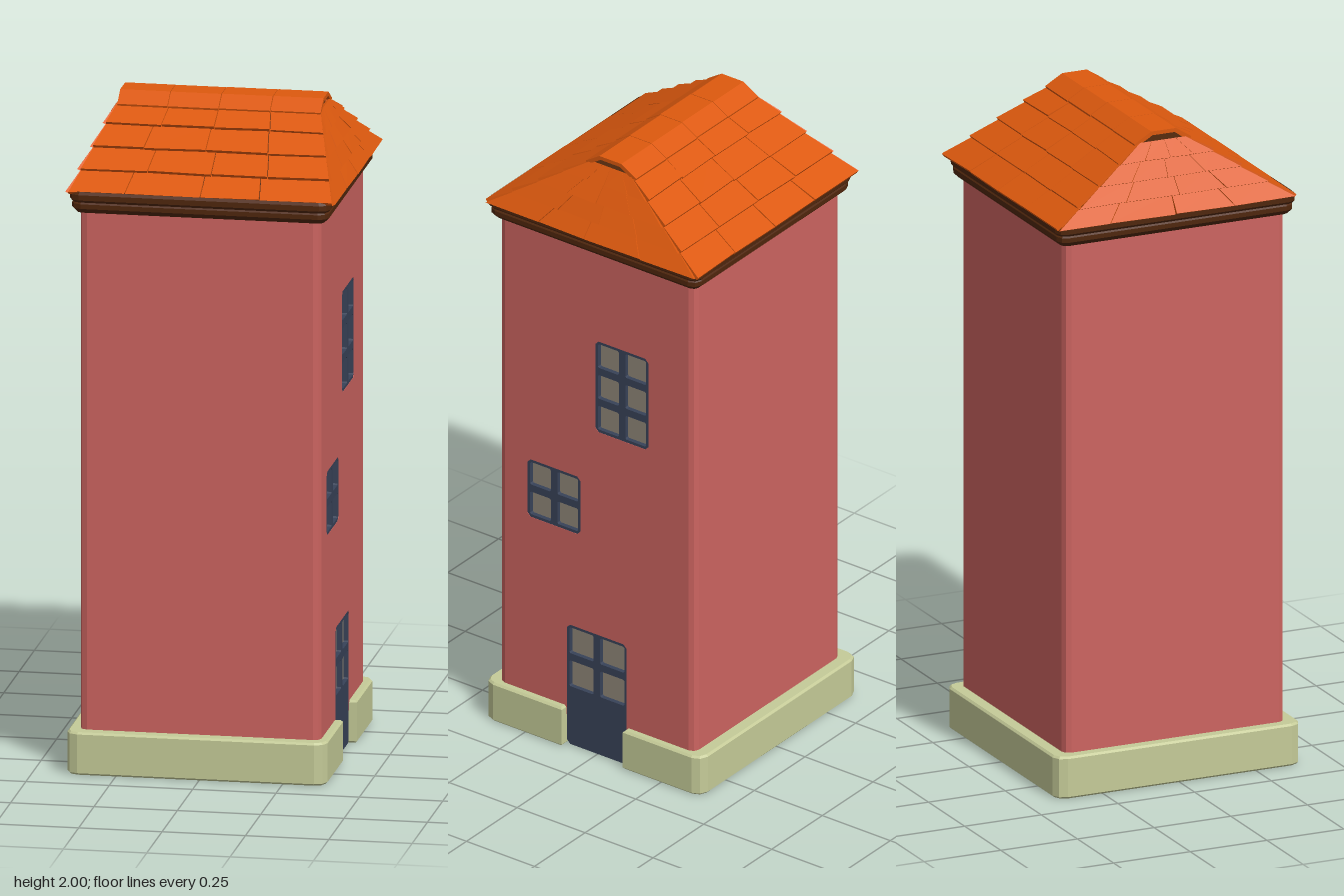
import * as THREE from 'three';

const mat = (color, extra = {}) => new THREE.MeshStandardMaterial({ color, ...extra });
const MATS = {
  wall: mat(0xcc6460), base: mat(0xc5cb98), eave: mat(0x4f260c),
  tile: mat(0xdd590e), frame: mat(0x384258), glass: mat(0x8f8678),
};

// Small seeded generator for the uneven tiles
let seed = 7;
const jitter = (a) => {
  seed = (seed * 16807) % 2147483647;
  return (seed / 2147483647 - 0.5) * 2 * a;
};

function add(parent, name, geometry, material) {
  const mesh = new THREE.Mesh(geometry, material);
  mesh.name = name;
  parent.add(mesh);
  return mesh;
}

// Plan with chamfered corners; the +x edge may have a recess of half width w back to x = depth
function plan(x0, x1, z0, z1, r, w = 0, depth = 0) {
  const pts = [[x0 + r, z0], [x1 - r, z0], [x1 - r * 0.3, z0 + r * 0.3], [x1, z0 + r]];
  if (w) pts.push([x1, -w], [depth, -w], [depth, w], [x1, w]);
  pts.push([x1, z1 - r], [x1 - r * 0.3, z1 - r * 0.3], [x1 - r, z1], [x0 + r, z1],
    [x0 + r * 0.3, z1 - r * 0.3], [x0, z1 - r], [x0, z0 + r], [x0 + r * 0.3, z0 + r * 0.3]);
  return new THREE.Shape(pts.map(([x, z]) => new THREE.Vector2(x, z)));
}

// Raises a plan from y0 to y1 with a small edge bevel inside the outline
function raise(shape, y0, y1, bevel) {
  const g = new THREE.ExtrudeGeometry(shape, {
    depth: y1 - y0 - 2 * bevel, bevelEnabled: bevel > 0, bevelThickness: bevel,
    bevelSize: bevel, bevelOffset: -bevel, bevelSegments: 1,
  });
  return g.rotateX(-Math.PI / 2).translate(0, y0 + bevel, 0);
}

// Rectangle path, a = -z, for the facade facing +x
function rect(Type, a0, a1, y0, y1, r = 0.012) {
  return new Type([[a0 + r, y0], [a1 - r, y0], [a1, y0 + r], [a1, y1 - r], [a1 - r, y1],
    [a0 + r, y1], [a0, y1 - r], [a0, y0 + r]].map(([a, y]) => new THREE.Vector2(a, y)));
}

// Extrudes an (a, y) shape between two x positions
function facing(shape, x0, x1) {
  return new THREE.ExtrudeGeometry(shape, { depth: x1 - x0, bevelEnabled: false })
    .rotateY(Math.PI / 2).translate(x0, 0, 0);
}

// Frame with a grid of panes; panesFrom leaves a solid panel below
function glazing(parent, name, [a0, a1, y0, y1], rows, panesFrom = y0) {
  const group = new THREE.Group();
  group.name = name;
  const outline = rect(THREE.Shape, a0, a1, y0, y1);
  const bar = 0.024, edge = 0.009;
  const pw = (a1 - a0 - 2 * edge - bar) / 2;
  const ph = (y1 - panesFrom - 2 * edge - bar * (rows - 1)) / rows;
  for (let c = 0; c < 2; c++) {
    for (let r = 0; r < rows; r++) {
      const a = a0 + edge + c * (pw + bar), y = panesFrom + edge + r * (ph + bar);
      outline.holes.push(rect(THREE.Path, a, a + pw, y, y + ph, 0.004));
    }
  }
  add(group, 'frame', facing(outline, 0.335, 0.356), MATS.frame);
  add(group, 'glass', facing(rect(THREE.Shape, a0 + 0.004, a1 - 0.004, y0 + 0.004, y1 - 0.004), 0.334, 0.342), MATS.glass);
  parent.add(group);
}

// Covers a sloping four-cornered face with overlapping tiles, corners seen from outside
function tileFace(parent, name, [eaveL, eaveR, topR, topL], rows, cols) {
  const group = new THREE.Group();
  group.name = name;
  const [el, er, tr, tl] = [eaveL, eaveR, topR, topL].map((p) => new THREE.Vector3(...p));
  const n = er.clone().sub(el).cross(tl.clone().sub(el)).normalize();
  for (let r = 0; r < rows; r++) {
    const cuts = [0];
    const shift = r % 2 ? 0.06 : -0.06;
    for (let c = 1; c < cols; c++) cuts.push((c + shift) / cols + jitter(0.02));
    cuts.push(1);
    for (let c = 0; c < cols; c++) {
      const g = new THREE.BoxGeometry(1, 1, 1).toNonIndexed();
      const p = g.attributes.position;
      const lift = 0.011 + jitter(0.002), skew = jitter(0.006);
      for (let i = 0; i < p.count; i++) {
        const low = p.getZ(i) > 0, right = p.getX(i) > 0;
        const u = right ? cuts[c + 1] - (c < cols - 1 ? 0.004 : 0) : cuts[c];
        const v = low ? r / rows + (right ? skew : -skew) : Math.min((r + 1.12) / rows, 1);
        const point = el.clone().lerp(er, u).lerp(tl.clone().lerp(tr, u), v);
        point.addScaledVector(n, (low ? lift : 0.001) - (p.getY(i) > 0 ? 0 : 0.01));
        p.setXYZ(i, point.x, point.y, point.z);
      }
      g.computeVertexNormals();
      add(group, 'tile', g, MATS.tile);
    }
  }
  parent.add(group);
}

function roof(parent) {
  const group = new THREE.Group();
  group.name = 'roof';

  // Dark hipped core under the tiles
  const core = new THREE.BoxGeometry(0.78, 0.2, 0.76).toNonIndexed();
  const p = core.attributes.position;
  for (let i = 0; i < p.count; i++) {
    if (p.getY(i) > 0) p.setXYZ(i, p.getX(i) * 0.76, p.getY(i), p.getZ(i) * 0.18);
  }
  core.computeVertexNormals();
  add(group, 'roofCore', core.translate(0, 1.865, -0.01), MATS.eave);

  // Two long slopes and two steep hipped ends
  const yE = 1.765, yT = 1.97, zF = 0.375, zB = -0.395, tF = 0.062, tB = -0.085;
  const xE = 0.395, xT = 0.303;
  tileFace(group, 'frontTiles', [[-xE, yE, zF], [xE, yE, zF], [xT, yT, tF], [-xT, yT, tF]], 4, 4);
  tileFace(group, 'backTiles', [[xE, yE, zB], [-xE, yE, zB], [-xT, yT, tB], [xT, yT, tB]], 4, 4);
  tileFace(group, 'leftTiles', [[xE, yE, zF], [xE, yE, zB], [xT, yT, tB], [xT, yT, tF]], 4, 4);
  tileFace(group, 'rightTiles', [[-xE, yE, zB], [-xE, yE, zF], [-xT, yT, tF], [-xT, yT, tB]], 4, 4);

  // Folded ridge caps
  const fold = [[-0.08, 1.968], [-0.03, 2], [0.05, 2], [0.105, 1.968]];
  const under = [...fold].reverse().map(([a, y]) => [a - Math.sign(a) * 0.004, y - 0.012]);
  const profile = new THREE.Shape([...under, ...fold].map(([a, y]) => new THREE.Vector2(a, y)));
  const xs = [-0.303, -0.151, 0.002, 0.156, 0.308];
  for (let i = 0; i < 4; i++) {
    const cap = add(group, 'ridgeCap', facing(profile, xs[i], xs[i + 1] - 0.002), MATS.tile);
    cap.position.z = jitter(0.003);
  }
  parent.add(group);
}

export function createModel() {
  seed = 7;
  const house = new THREE.Group();
  house.name = 'towerHouse';

  // Plinth with a gap for the doorway
  add(house, 'plinth', raise(plan(-0.4, 0.38, -0.4, 0.4, 0.035, 0.112, 0.335), 0, 0.13, 0.006), MATS.base);

  // Tower body, recessed on +x to take the facade
  add(house, 'walls', raise(plan(-0.365, 0.357, -0.36, 0.36, 0.022, 0.335, 0.335), 0.1, 1.715, 0), MATS.wall);

  // Openings as [a0, a1, y0, y1] with a = -z
  const upper = [-0.005, 0.19, 1.097, 1.405];
  const lower = [-0.255, -0.06, 0.725, 0.92];
  const door = [-0.11, 0.11, 0.003, 0.408];
  const facade = new THREE.Shape([[-0.335, 0.1], [-0.11, 0.1], [-0.11, 0.396], [-0.098, 0.408],
    [0.098, 0.408], [0.11, 0.396], [0.11, 0.1], [0.335, 0.1], [0.335, 1.715], [-0.335, 1.715],
  ].map(([a, y]) => new THREE.Vector2(a, y)));
  facade.holes.push(rect(THREE.Path, ...upper), rect(THREE.Path, ...lower));
  add(house, 'facade', facing(facade, 0.335, 0.357), MATS.wall);

  glazing(house, 'upperWindow', upper, 3);
  glazing(house, 'lowerWindow', lower, 2);
  glazing(house, 'door', door, 2, 0.19);

  // Two-step eave moulding
  add(house, 'lowerEave', raise(plan(-0.388, 0.383, -0.384, 0.384, 0.03), 1.708, 1.752, 0.015), MATS.eave);
  add(house, 'upperEave', raise(plan(-0.393, 0.388, -0.39, 0.39, 0.03), 1.742, 1.774, 0.008), MATS.eave);

  roof(house);
  return house;
}
